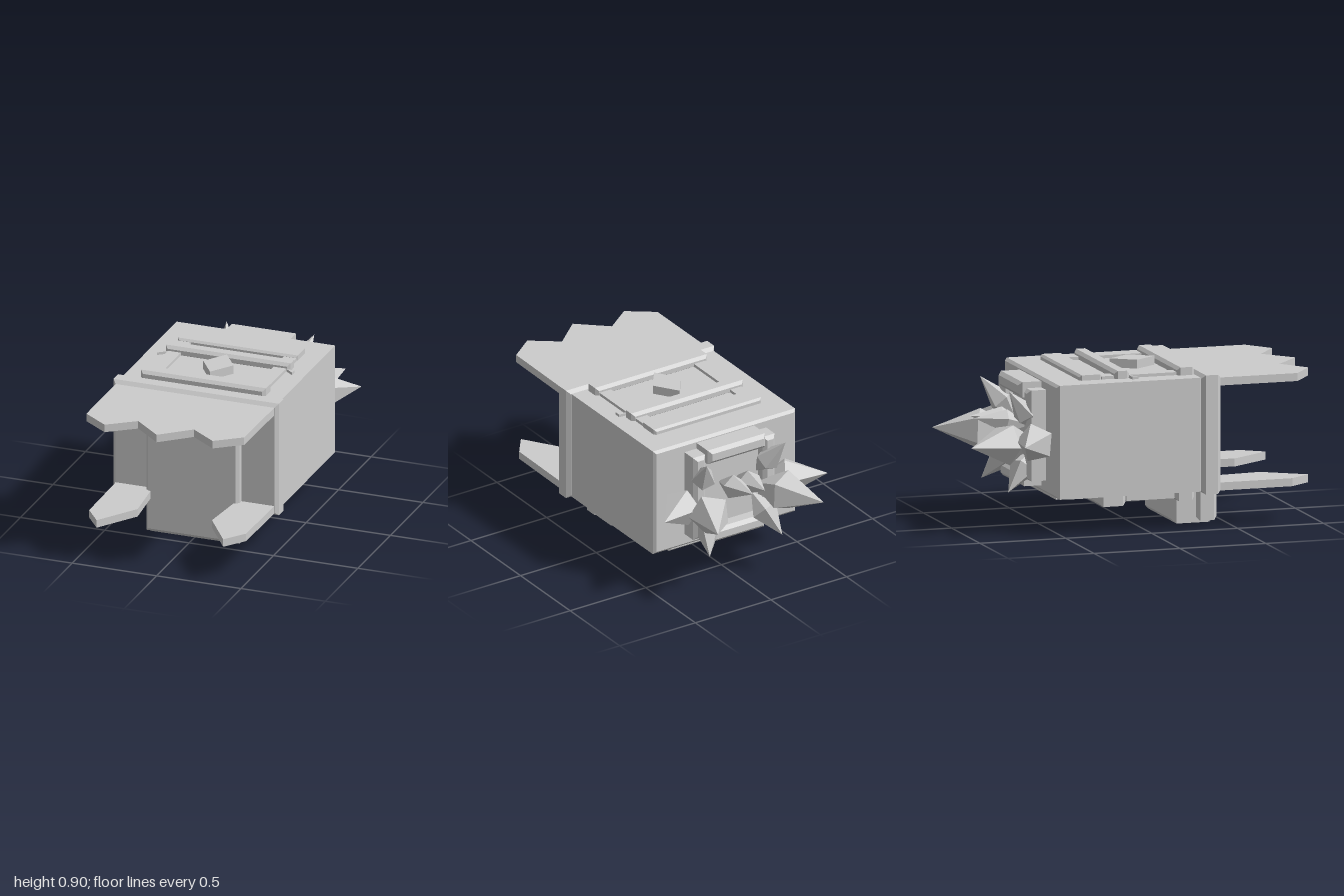
import * as THREE from 'three';

const grey = new THREE.MeshStandardMaterial({ color: 0xcccccc });
grey.name = 'grey';

export function createModel() {
  const model = new THREE.Group();
  model.name = 'spikedHead';

  const add = (name, geometry) => {
    const mesh = new THREE.Mesh(geometry, grey);
    mesh.name = name;
    model.add(mesh);
    return mesh;
  };

  // Box with chamfered edges, given by its limits
  const block = (name, [x0, x1], [y0, y1], [z0, z1], c = 0.015) => {
    const s = new THREE.Shape([
      [x0 + c, y0 + c], [x1 - c, y0 + c], [x1 - c, y1 - c], [x0 + c, y1 - c],
    ].map(([x, y]) => new THREE.Vector2(x, y)));
    const g = new THREE.ExtrudeGeometry(s, {
      depth: z1 - z0 - 2 * c, bevelEnabled: true,
      bevelSize: c, bevelThickness: c, bevelSegments: 1,
    });
    g.translate(0, 0, z0 + c);
    return add(name, g);
  };

  // Flat plate from an outline of [x, z] points
  const plate = (name, points, y0, y1) => {
    const s = new THREE.Shape(points.map(([x, z]) => new THREE.Vector2(x, -z)));
    const g = new THREE.ExtrudeGeometry(s, { depth: y1 - y0, bevelEnabled: false });
    g.rotateX(-Math.PI / 2);
    g.translate(0, y0, 0);
    return add(name, g);
  };

  // Five-sided crystal running from its root to its tip
  const crystal = (name, root, tip, radius, waist) => {
    const a = new THREE.Vector3(...root);
    const dir = new THREE.Vector3(...tip).sub(a);
    const len = dir.length();
    const g = new THREE.LatheGeometry([
      new THREE.Vector2(0, 0), new THREE.Vector2(radius, len * waist), new THREE.Vector2(0, len),
    ], 5).toNonIndexed();
    g.computeVertexNormals();
    g.applyQuaternion(new THREE.Quaternion().setFromUnitVectors(new THREE.Vector3(0, 1, 0), dir.normalize()));
    g.translate(a.x, a.y, a.z);
    add(name, g);
  };

  const diamond = (name, w, z0, z1, y0, y1) => {
    const m = (z0 + z1) / 2;
    plate(name, [[0, z1], [w, m], [0, z0], [-w, m]], y0, y1);
  };

  // Main body, collar, front plate and foot
  block('body', [-0.47, 0.47], [0.215, 0.855], [-0.54, 0.31], 0.015);
  block('collar', [-0.49, 0.49], [0.2, 0.87], [0.3, 0.41], 0.02);
  block('frontPlate', [-0.278, 0.275], [0.015, 0.79], [0.34, 0.455], 0.018);
  block('foot', [-0.255, 0.255], [0.003, 0.225], [0.2, 0.44], 0.025);

  // Zigzag visor
  plate('visor', [
    [-0.47, 0.38], [-0.47, 0.86], [-0.32, 0.97], [-0.165, 0.855], [0, 1],
    [0.165, 0.855], [0.32, 0.97], [0.465, 0.86], [0.47, 0.38],
  ], 0.805, 0.85);

  // Top frame
  block('topFrontBar', [-0.37, 0.37], [0.84, 0.9], [0.195, 0.295], 0.017);
  block('topMiddleBar', [-0.37, 0.37], [0.84, 0.9], [-0.17, -0.085], 0.017);
  block('topBackBar', [-0.355, 0.355], [0.84, 0.885], [-0.37, -0.24], 0.012);
  diamond('topDiamond', 0.09, -0.08, 0.18, 0.85, 0.905);

  // Bottom frame
  block('bottomFrontBar', [-0.375, 0.375], [0.15, 0.23], [0.18, 0.295], 0.02);
  block('bottomMiddleBar', [-0.375, 0.375], [0.142, 0.23], [-0.26, -0.105], 0.02);
  block('bottomBackBar', [-0.355, 0.355], [0.195, 0.23], [-0.52, -0.42], 0.01);
  diamond('bottomDiamond', 0.09, -0.1, 0.1, 0.17, 0.22);
  diamond('bottomBackDiamond', 0.08, -0.41, -0.29, 0.19, 0.22);

  // Back frame
  block('backTopBar', [-0.19, 0.19], [0.75, 0.835], [-0.67, -0.52], 0.02);
  block('backBottomBar', [-0.19, 0.19], [0.25, 0.33], [-0.66, -0.52], 0.02);
  block('backPanel', [-0.2, 0.2], [0.3, 0.78], [-0.58, -0.52], 0.01);

  for (const s of [1, -1]) {
    const side = s > 0 ? 'left' : 'right';
    const span = (a, b) => (s > 0 ? [a, b] : [-b, -a]);

    // Lower fins
    const fin = [[0.25, 0.38], [0.25, 0.41], [0.22, 0.72], [0.375, 0.95], [0.465, 0.83], [0.47, 0.38]];
    plate(side + 'Fin', fin.map(([x, z]) => [s * x, z]), 0.215, 0.26);

    // Frame rails and barbs
    block(side + 'TopRail', span(0.275, 0.35), [0.84, 0.872], [-0.25, 0.21], 0.01);
    block(side + 'BottomRail', span(0.275, 0.355), [0.165, 0.225], [-0.11, 0.2], 0.012);
    block(side + 'BottomBackRail', span(0.275, 0.345), [0.19, 0.225], [-0.44, -0.25], 0.01);
    plate(side + 'Barb', [[s * 0.35, -0.085], [s * 0.4, -0.045], [s * 0.4, -0.08]], 0.853, 0.87);
    block(side + 'BackPost', span(0.19, 0.27), [0.29, 0.8], [-0.645, -0.52], 0.02);

    // Crystal cluster
    crystal(side + 'LongCrystal', [s * 0.16, 0.5, -0.56], [s * 0.35, 0.51, -1], 0.12, 0.45);
    crystal(side + 'SideCrystal', [s * 0.22, 0.51, -0.55], [s * 0.54, 0.53, -0.75], 0.11, 0.38);
    crystal(side + 'MiddleCrystal', [s * 0.06, 0.57, -0.56], [s * 0.04, 0.62, -0.88], 0.07, 0.45);
    crystal(side + 'UpperCrystal', [s * 0.18, 0.57, -0.57], [s * 0.26, 0.8, -0.75], 0.07, 0.4);
    crystal(side + 'LowerCrystal', [s * 0.15, 0.45, -0.57], [s * 0.24, 0.23, -0.75], 0.08, 0.42);
  }

  return model;
}
